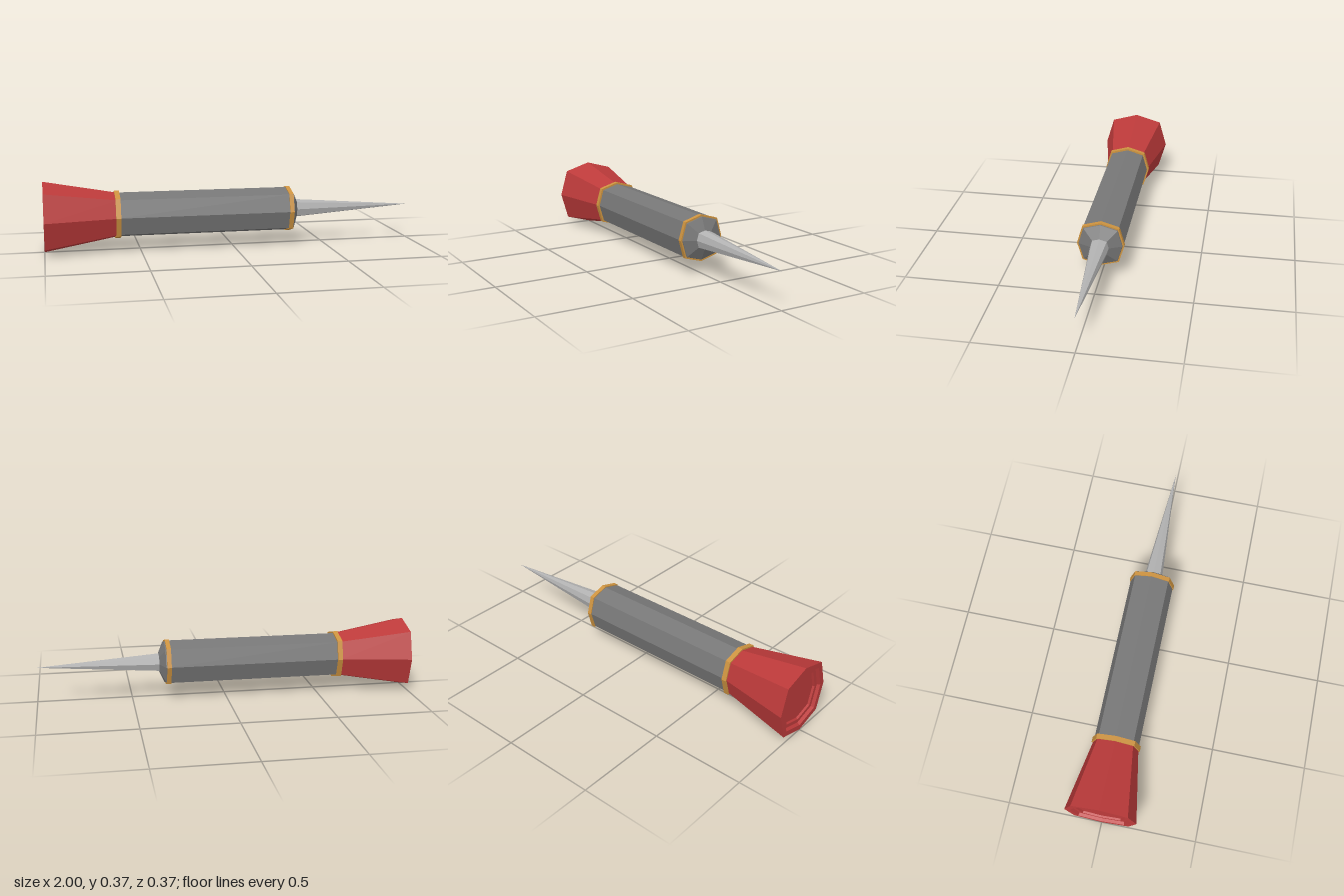
import * as THREE from 'three';

const SIDES = 8;
const AXIS_Y = 0.188;
const CORNER = 1.096; // diagonal corners stand out further than the axial ones

const makeMaterial = (name, color) => {
  const m = new THREE.MeshStandardMaterial({ color, flatShading: true });
  m.name = name;
  return m;
};

// Turns a profile of [x, radius] points, listed from -x to +x, into an eight-sided solid along x
function turned(name, material, profile) {
  const points = profile.map(([x, r]) => new THREE.Vector2(r, x));
  let geometry = new THREE.LatheGeometry(points, SIDES);
  geometry.rotateZ(-Math.PI / 2);
  const p = geometry.attributes.position;
  for (let i = 0; i < p.count; i++) {
    const y = p.getY(i), z = p.getZ(i);
    if (Math.abs(y) > 1e-4 && Math.abs(z) > 1e-4) {
      p.setY(i, y * CORNER);
      p.setZ(i, z * CORNER);
    }
  }
  geometry = geometry.toNonIndexed();
  geometry.computeVertexNormals();
  const mesh = new THREE.Mesh(geometry, material);
  mesh.name = name;
  return mesh;
}

// A closed band around the barrel
const band = (name, material, x0, x1, r) =>
  turned(name, material, [[x0, 0.1], [x0, r], [x1, r], [x1, 0.1]]);

export function createModel() {
  const red = makeMaterial('red', 0xbc3a3a);
  const gold = makeMaterial('gold', 0xcd9340);
  const darkGrey = makeMaterial('dark grey', 0x777777);
  const lightGrey = makeMaterial('light grey', 0xb2b2b2);

  const model = new THREE.Group();
  model.name = 'spikedTool';
  const body = new THREE.Group();
  body.name = 'body';
  body.position.y = AXIS_Y;
  model.add(body);

  body.add(
    // Flared tail with a shallow stepped recess in its end
    turned('flare', red, [
      [-0.975, 0], [-0.975, 0.125],
      [-0.985, 0.13], [-0.985, 0.15],
      [-1, 0.158], [-1, 0.187],
      [-0.62, 0.118],
    ]),
    // Barrel with its chamfered nose
    turned('barrel', darkGrey, [
      [-0.62, 0], [-0.62, 0.118], [0.31, 0.118],
      [0.325, 0.113], [0.355, 0.048], [0.355, 0],
    ]),
    band('rearBand', gold, -0.632, -0.606, 0.128),
    band('frontBand', gold, 0.297, 0.32, 0.123),
    // Spike
    turned('spike', lightGrey, [[0.35, 0], [0.35, 0.049], [1, 0]]),
  );
  return model;
}
